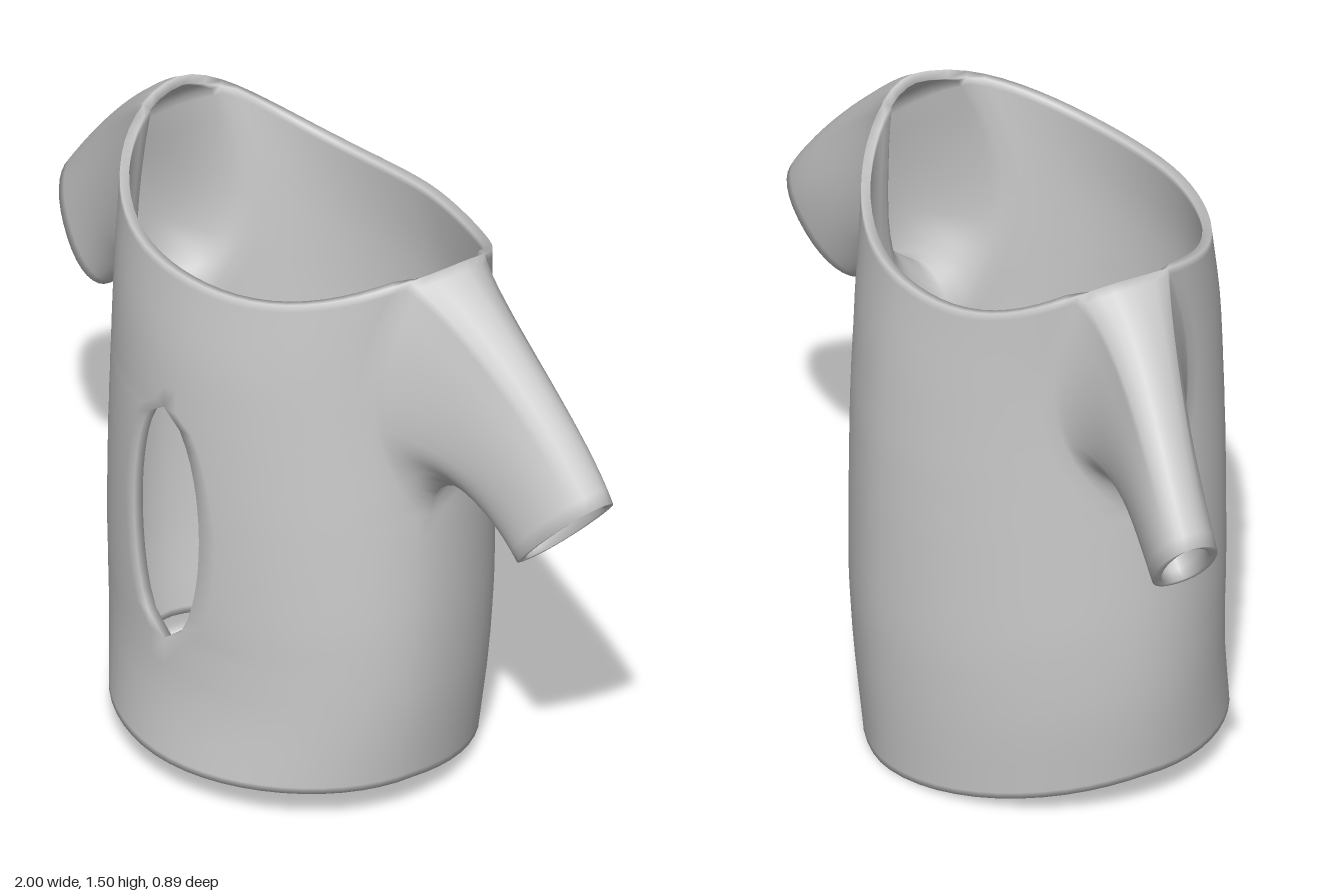
import * as THREE from 'three';
import { mergeVertices, mergeGeometries } from 'three/addons/utils/BufferGeometryUtils.js';

const V = (x, y, z) => new THREE.Vector3(x, y, z);
const spow = (v, p) => Math.sign(v) * Math.pow(Math.abs(v), p);
const THICKNESS = 0.022;
const ARMPIT = 0.52;                       // height fraction where the armholes begin
const OVAL = { low: 0.24, high: 0.726 };   // height fractions of the chest opening

// half width, front depth, back depth from hem to neck
const profile = new THREE.CatmullRomCurve3([
  V(0.465, 0.44, 0.42), V(0.498, 0.415, 0.44), V(0.508, 0.418, 0.45), V(0.507, 0.42, 0.448),
  V(0.505, 0.418, 0.44), V(0.51, 0.41, 0.42), V(0.53, 0.38, 0.385),
]);

const hemY = (s) => (s > 0 ? 0.085 - 0.012 * s ** 4 : 0.085 * (1 - Math.abs(s) ** 1.3));
const neckY = (c, s) => (s > 0 ? 1.39 + 0.115 * Math.abs(c) ** 3 : 1.335 + 0.17 * Math.abs(c) ** 3.3);

// point on the body at an angle around and a height fraction
function bodyPoint(angle, v) {
  const p = profile.getPoint(v), c = Math.cos(angle), s = Math.sin(angle);
  const zc = 0.04 - 0.09 * v * v;
  const reach = s > 0 ? p.y - zc : p.z + zc;
  const round = s > 0 ? 1.02 : 1.09;
  return V(p.x * spow(c, round), THREE.MathUtils.lerp(hemY(s), neckY(c, s), v), zc + reach * spow(s, round));
}

// half openings of the armhole and the chest oval, as angles
function armhole(v, widest) {
  const s = (v - ARMPIT) / (1 - ARMPIT);
  return s <= 1e-9 ? 0 : widest * Math.sin(Math.PI * 0.8 * s) ** 0.6;
}
const frontArm = (v) => armhole(v, 0.42);
const backArm = (v) => armhole(v, 0.48);
function oval(v) {
  const t = (2 * v - OVAL.low - OVAL.high) / (OVAL.high - OVAL.low);
  return Math.abs(t) > 1 - 1e-9 ? 0 : 0.25 * Math.sqrt(1 - t * t);
}

// surface through rows of points
function loft(rows) {
  const n = rows[0].length, pos = [], index = [];
  rows.forEach((r) => r.forEach((p) => pos.push(p.x, p.y, p.z)));
  for (let j = 0; j < rows.length - 1; j++) {
    for (let i = 0; i < n - 1; i++) {
      const a = j * n + i, b = a + 1, c = a + n, d = c + 1;
      index.push(a, c, b, b, c, d);
    }
  }
  const g = new THREE.BufferGeometry();
  g.setAttribute('position', new THREE.Float32BufferAttribute(pos, 3));
  g.setIndex(index);
  return g;
}

// heights of the body rows, meeting every opening exactly
const levels = [0];
[[0.012, 1], [OVAL.low, 4], [ARMPIT, 8], [OVAL.high, 7], [0.985, 6], [1, 1]].forEach(([end, n]) => {
  const from = levels[levels.length - 1];
  for (let i = 1; i < n; i++) levels.push(from + ((end - from) * i) / n);
  levels.push(end);
});

// part of the body between two edges
function panel(from, to, columns) {
  return loft(levels.map((v) => Array.from({ length: columns + 1 },
    (_, i) => bodyPoint(THREE.MathUtils.lerp(from(v), to(v), i / columns), v))));
}

// sleeve swept from the armhole edge to the cuff
function sleeve(mirror) {
  const rise = levels.filter((v) => v >= ARMPIT);
  const edge = rise.map((v) => bodyPoint(frontArm(v), v));
  for (let i = 1; i < 6; i++) edge.push(bodyPoint(THREE.MathUtils.lerp(frontArm(1), -backArm(1), i / 6), 1));
  edge.push(...rise.reverse().map((v) => bodyPoint(-backArm(v), v)));

  const centre = V(0.893, 0.922, -0.08), up = V(0.105, 0.113, -0.03), side = V(0, 0, 0.082);
  const steps = 18, rings = [];
  for (let j = 0; j <= steps; j++) {
    const t = j / steps, t2 = t * t, t3 = t2 * t;
    rings.push(edge.map((p, k) => {
      const a = (2 * Math.PI * k) / (edge.length - 1), s = Math.sin(a);
      const low = Math.max(0, Math.cos(a)) ** 2;
      const cuff = centre.clone().addScaledVector(up, -spow(Math.cos(a), 0.9)).addScaledVector(side, spow(s, 0.9));
      const leave = V(0.35 - 0.3 * low, -0.2 + 0.75 * low, -0.28 * s);
      const arrive = V(0.35, -0.5 + 0.2 * low, -0.02 * s);
      return p.clone().multiplyScalar(2 * t3 - 3 * t2 + 1).addScaledVector(leave, t3 - 2 * t2 + t)
        .addScaledVector(cuff, 3 * t2 - 2 * t3).addScaledVector(arrive, t3 - t2);
    }));
  }
  return loft(mirror ? rings.map((r) => r.map((p) => V(-p.x, p.y, p.z)).reverse()) : rings);
}

// give a skin an inner face and close every open edge between the two
function thicken(skin, depth) {
  skin.computeVertexNormals();
  const outer = skin.attributes.position, normal = skin.attributes.normal;
  const faces = Array.from(skin.index.array), n = outer.count;
  const pos = Array.from(outer.array), index = [...faces], edges = new Set();
  for (let i = 0; i < n * 3; i++) pos.push(outer.array[i] - normal.array[i] * depth);
  for (let i = 0; i < faces.length; i += 3) {
    const [a, b, c] = faces.slice(i, i + 3);
    index.push(a + n, c + n, b + n);
    [[a, b], [b, c], [c, a]].forEach(([p, q]) => {
      if (!edges.delete(`${q},${p}`)) edges.add(`${p},${q}`);
    });
  }
  edges.forEach((e) => {
    const [p, q] = e.split(',').map(Number);
    index.push(q, p, p + n, q, p + n, q + n);
  });
  const g = new THREE.BufferGeometry();
  g.setAttribute('position', new THREE.Float32BufferAttribute(pos, 3));
  g.setIndex(index);
  g.computeVertexNormals();
  return g;
}

export function createModel() {
  const group = new THREE.Group();
  group.name = 'shirt';
  const cloth = new THREE.MeshStandardMaterial({ color: 0xcccccc, side: THREE.DoubleSide });
  const half = Math.PI / 2;

  // front halves beside the chest opening, back, and both sleeves in one smooth skin
  const skin = mergeVertices(mergeGeometries([
    panel(frontArm, (v) => half - oval(v), 14),
    panel((v) => half + oval(v), (v) => Math.PI - frontArm(v), 14),
    panel((v) => Math.PI + backArm(v), (v) => 2 * Math.PI - backArm(v), 28),
    sleeve(false),
    sleeve(true),
  ]), 1e-4);
  const body = new THREE.Mesh(thicken(skin, THICKNESS), cloth);
  body.name = 'bodyAndSleeves';
  group.add(body);
  return group;
}
